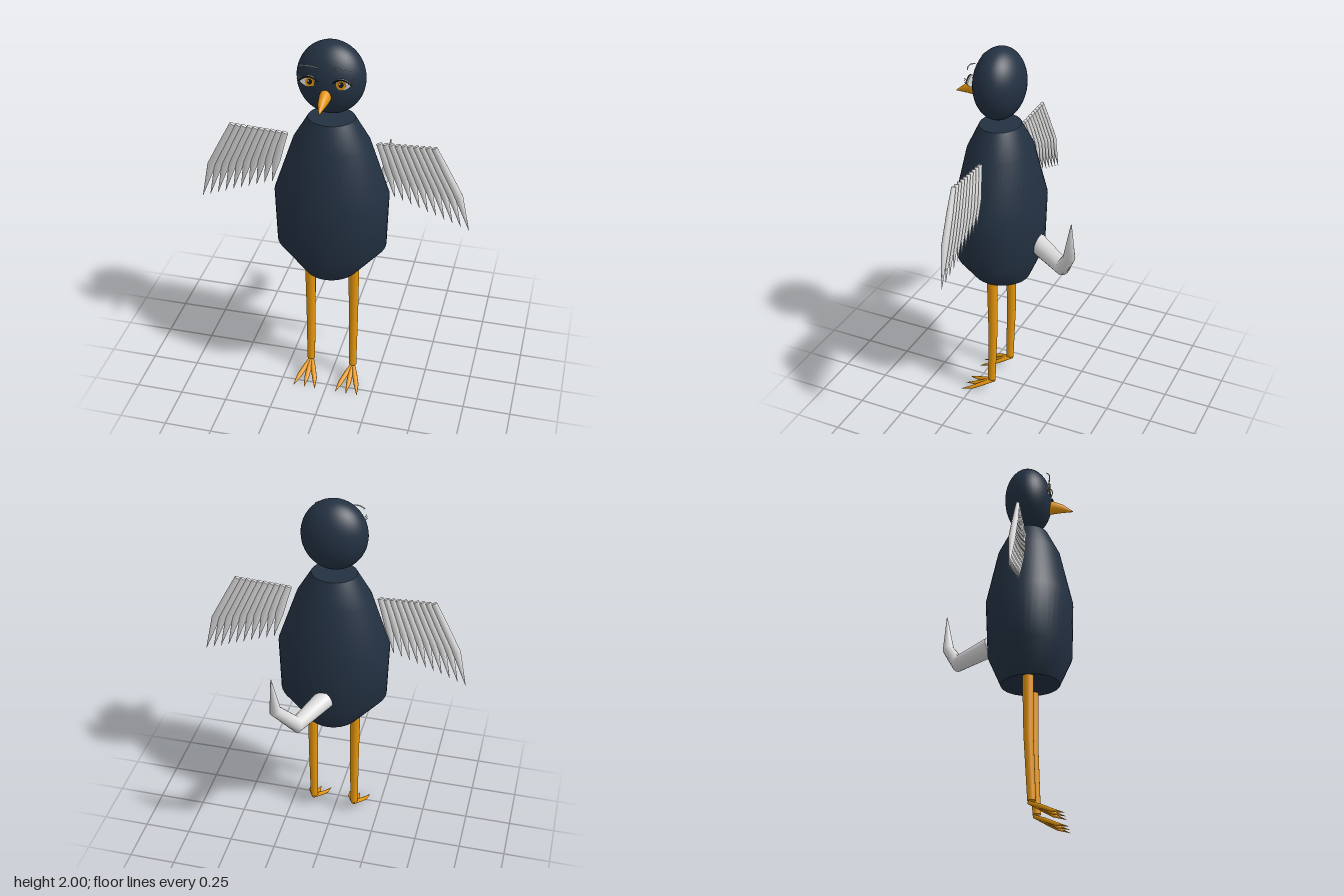
import * as THREE from 'three';

const navy = new THREE.MeshStandardMaterial({ color: 0x233142 });
navy.name = 'navy plumage';
const orange = new THREE.MeshStandardMaterial({ color: 0xe6960c });
orange.name = 'orange skin';
const pale = new THREE.MeshStandardMaterial({ color: 0xdcdcdc });
pale.name = 'pale feather';
const black = new THREE.MeshStandardMaterial({ color: 0x14171c });
black.name = 'black lash';

// Skins elliptical rings [x, y, z, radiusA, radiusB] along a path; radiusA lies along "side"
function loft(rings, seg = 16, side = [1, 0, 0]) {
  const pts = rings.map(r => new THREE.Vector3(r[0], r[1], r[2]));
  const pos = [], idx = [], n = rings.length;
  rings.forEach((r, i) => {
    const t = new THREE.Vector3();
    if (i > 0) t.add(pts[i].clone().sub(pts[i - 1]).normalize());
    if (i < n - 1) t.add(pts[i + 1].clone().sub(pts[i]).normalize());
    t.normalize();
    const u = new THREE.Vector3(...side);
    u.addScaledVector(t, -u.dot(t)).normalize();
    const v = t.clone().cross(u);
    for (let j = 0; j < seg; j++) {
      const a = (j / seg) * Math.PI * 2;
      const p = pts[i].clone()
        .addScaledVector(u, r[3] * Math.cos(a))
        .addScaledVector(v, (r[4] ?? r[3]) * Math.sin(a));
      pos.push(p.x, p.y, p.z);
    }
  });
  for (let i = 0; i < n - 1; i++) {
    for (let j = 0; j < seg; j++) {
      const k = (j + 1) % seg, a = i * seg, b = a + seg;
      idx.push(a + j, a + k, b + k, a + j, b + k, b + j);
    }
  }
  // End caps use their own vertices so their rims stay sharp
  for (const [i, flip] of [[0, true], [n - 1, false]]) {
    const c = pos.length / 3;
    pos.push(pts[i].x, pts[i].y, pts[i].z);
    pos.push(...pos.slice(i * seg * 3, (i + 1) * seg * 3));
    for (let j = 0; j < seg; j++) {
      const a = c + 1 + j, b = c + 1 + (j + 1) % seg;
      idx.push(c, flip ? b : a, flip ? a : b);
    }
  }
  const g = new THREE.BufferGeometry();
  g.setAttribute('position', new THREE.Float32BufferAttribute(pos, 3));
  g.setIndex(idx);
  g.computeVertexNormals();
  return g;
}

function add(parent, name, geometry, material, x = 0, y = 0, z = 0) {
  const m = new THREE.Mesh(geometry, material);
  m.name = name;
  m.position.set(x, y, z);
  parent.add(m);
  return m;
}

function part(parent, name) {
  const g = new THREE.Group();
  g.name = name;
  parent.add(g);
  return g;
}

// Thin flat plate facing +z
const plate = (shape, depth = 0.006) =>
  new THREE.ExtrudeGeometry(shape, { depth, bevelEnabled: false, curveSegments: 12 });
const disc = (r, ry = r) => new THREE.Shape().absellipse(0, 0, r, ry, 0, Math.PI * 2);

function thread(points, r) {
  const curve = new THREE.CatmullRomCurve3(points.map(p => new THREE.Vector3(...p)));
  return new THREE.TubeGeometry(curve, 10, r, 5);
}

function buildWing(parent, s) {
  const wing = part(parent, s > 0 ? 'leftWing' : 'rightWing');
  const count = 10, mix = THREE.MathUtils.lerp;
  for (let i = 0; i < count; i++) {
    const f = i / (count - 1);
    add(wing, 'feather', loft([
      [s * mix(0.237, 0.507, f), mix(1.48, 1.492, f), 0.127, 0.016, 0.010],
      [s * mix(0.262, 0.565, f), mix(1.41, 1.375, f), 0.122, 0.020, 0.016],
      [s * mix(0.288, 0.638, f), mix(1.32, 1.23, f), 0.115, 0.022, 0.018],
      [s * mix(0.318, 0.698, f), mix(1.175, 1.035, f), 0.107, 0.001, 0.001],
    ], 10), pale);
  }
}

function buildLeg(parent, s) {
  const leg = part(parent, s > 0 ? 'leftLeg' : 'rightLeg');
  const x = s * 0.117;
  add(leg, 'shin', loft([
    [x, 0.085, 0.14, 0.021],
    [x, 0.42, 0.128, 0.025],
    [x, 0.76, 0.128, 0.029],
  ], 14), orange);
  // Three toes fan forward from the ankle
  for (const k of [-1, 0, 1]) {
    add(leg, 'toe', loft([
      [x, 0.077, 0.125, 0.008],
      [x + k * 0.022, 0.05, 0.185, 0.014, 0.011],
      [x + k * 0.044, 0.022, 0.24, 0.013, 0.009],
      [x + k * 0.06, 0.003, 0.30, 0.001],
    ], 10), orange);
  }
}

function buildEye(parent, s) {
  const eye = part(parent, s > 0 ? 'leftEye' : 'rightEye');
  eye.position.set(s * 0.08, 1.835, 0.24);
  // Almond eye white
  const almond = new THREE.Shape();
  almond.moveTo(-0.046, 0);
  almond.quadraticCurveTo(0, 0.06, 0.046, 0.004);
  almond.quadraticCurveTo(0, -0.054, -0.046, 0);
  add(eye, 'eyeWhite', plate(almond), pale);
  add(eye, 'iris', plate(disc(0.023), 0.004), orange, -s * 0.005, 0, 0.005);
  add(eye, 'pupil', plate(disc(0.012, 0.014), 0.003), black, -s * 0.005, 0.003, 0.008);
  add(eye, 'glint', plate(disc(0.004), 0.002), pale, -s * 0.005 - 0.005, 0.008, 0.0105);
  // Dark upper lid, outer lashes and the floating brow
  add(eye, 'upperLid', thread([[-0.048, 0.002, 0.007], [-0.022, 0.023, 0.011],
    [0, 0.03, 0.012], [0.022, 0.024, 0.011], [0.048, 0.004, 0.007]], 0.0035), black);
  for (let i = 0; i < 3; i++) {
    add(eye, 'lash', thread([[s * (0.03 + i * 0.006), 0.018 - i * 0.006, 0.007],
      [s * (0.045 + i * 0.003), 0.027 - i * 0.008, 0.011],
      [s * (0.052 + i * 0.002), 0.038 - i * 0.010, 0.014]], 0.0016), pale);
  }
  add(eye, 'brow', thread([[-s * 0.046, 0.075, 0.004], [-s * 0.015, 0.083, 0.01],
    [s * 0.018, 0.083, 0.009], [s * 0.046, 0.076, -0.002]], 0.0032), pale);
}

export function createModel() {
  const bird = new THREE.Group();
  bird.name = 'bird';

  // Faceted-profile oval body
  add(bird, 'body', loft([
    [0, 0.73, 0.127, 0.147, 0.152],
    [0, 0.885, 0.127, 0.283, 0.217],
    [0, 1.18, 0.127, 0.292, 0.228],
    [0, 1.47, 0.127, 0.193, 0.166],
    [0, 1.6, 0.127, 0.117, 0.104],
  ], 48), navy);

  // Separate floating head
  const head = add(bird, 'head', new THREE.SphereGeometry(1, 40, 28), navy, 0, 1.815, 0.127);
  head.scale.set(0.168, 0.185, 0.127);

  // Drooping beak
  add(bird, 'beak', loft([
    [0, 1.768, 0.235, 0.028, 0.038],
    [0, 1.766, 0.26, 0.028, 0.037],
    [0, 1.756, 0.31, 0.021, 0.024],
    [0, 1.734, 0.368, 0.002, 0.002],
  ], 16), orange);

  // Tail sweeping back, to the left and up
  add(bird, 'tail', loft([
    [0, 0.957, -0.075, 0.053],
    [0.1, 0.915, -0.265, 0.043],
    [0.19, 1.04, -0.335, 0.031],
    [0.203, 1.24, -0.348, 0.002],
  ], 16, [0.85, 0, 0.5]), pale);

  for (const s of [1, -1]) {
    buildWing(bird, s);
    buildLeg(bird, s);
    buildEye(bird, s);
  }
  return bird;
}
